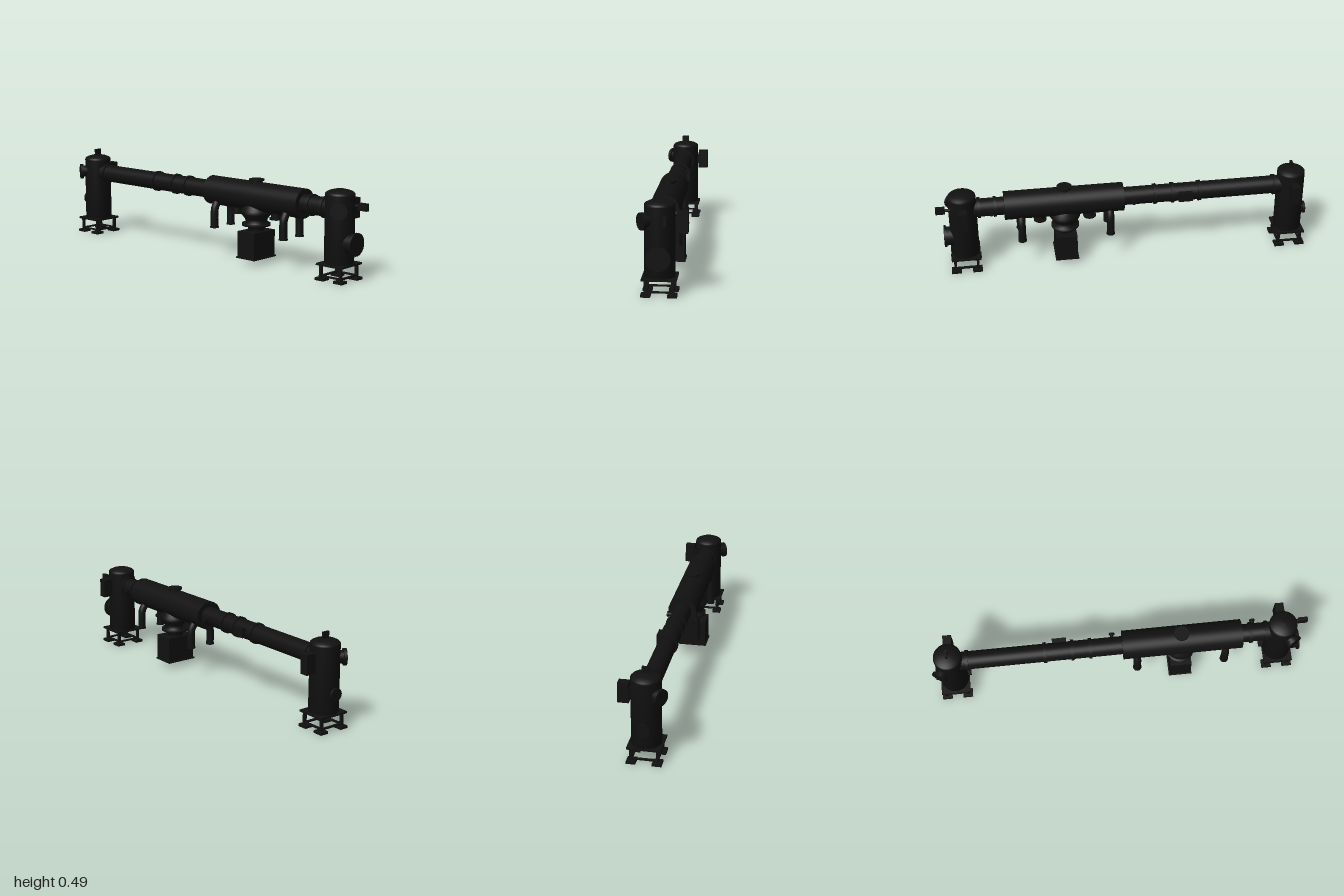
import * as THREE from 'three';

const mat = new THREE.MeshStandardMaterial({ color: 0x111111, side: THREE.DoubleSide });
const ZC = 0.012, PIPE_Y = 0.352;

function add(parent, name, geo, x = 0, y = 0, z = 0) {
  const m = new THREE.Mesh(geo, mat);
  m.name = name;
  m.position.set(x, y, z);
  parent.add(m);
  return m;
}
const box = (p, name, w, h, d, x, y, z) => add(p, name, new THREE.BoxGeometry(w, h, d), x, y, z);

// Cylinder between two points
function rod(p, name, r, a, b, seg = 32) {
  const A = new THREE.Vector3(...a), B = new THREE.Vector3(...b), d = B.clone().sub(A);
  const m = add(p, name, new THREE.CylinderGeometry(r, r, d.length(), seg));
  m.position.copy(A).add(B).multiplyScalar(0.5);
  m.quaternion.setFromUnitVectors(new THREE.Vector3(0, 1, 0), d.normalize());
  return m;
}

// Vertical vessel on a legged frame; s is the outward x direction
function tower(s) {
  const g = new THREE.Group();
  g.name = s > 0 ? 'leftTower' : 'rightTower';

  // Shell and dished head
  const shell = [[0, 0.085], [0.074, 0.085], [0.074, 0.425]];
  add(g, 'shell', new THREE.LatheGeometry(shell.map(p => new THREE.Vector2(...p)), 48));
  const head = [[0.074, 0.425], [0.073, 0.432], [0.067, 0.438], [0.05, 0.446], [0.025, 0.452], [0, 0.454]];
  add(g, 'domedHead', new THREE.LatheGeometry(head.map(p => new THREE.Vector2(...p)), 48));

  // Support frame: top plate, legs, lower beams and feet
  box(g, 'basePlate', 0.156, 0.01, 0.168, 0, 0.081, 0);
  for (const i of [-1, 1]) {
    box(g, 'lowerBeam', 0.14, 0.008, 0.012, 0, 0.021, i * 0.063);
    box(g, 'sideBeam', 0.012, 0.008, 0.14, i * 0.06, 0.021, 0);
    for (const k of [-1, 1]) {
      box(g, 'leg', 0.014, 0.07, 0.014, i * 0.06, 0.045, k * 0.065);
      box(g, 'foot', 0.052, 0.013, 0.046, i * 0.056, 0.0065, k * 0.063);
    }
  }

  // Angled inspection port facing outward and forward
  const n = [s * 0.55, 0, 0.835], at = t => [n[0] * t, 0.357, n[2] * t];
  rod(g, 'portNeck', 0.032, at(0.04), at(0.095));
  rod(g, 'portCover', 0.042, at(0.087), at(0.103));

  // Control cabinet behind the shell
  box(g, 'cabinet', 0.045, 0.102, 0.054, 0, 0.346, -0.107);
  box(g, 'cabinetBracket', 0.02, 0.05, 0.03, 0, 0.346, -0.075);

  // Side manway
  const r = s > 0 ? 0.058 : 0.033, out = s > 0 ? 0.107 : 0.09;
  rod(g, 'manwayNeck', r - 0.008, [s * 0.04, 0.19, 0], [s * out, 0.19, 0]);
  rod(g, 'manwayCover', r, [s * (out - 0.012), 0.19, 0], [s * out, 0.19, 0]);

  if (s > 0) {
    // Instrument on a stem
    box(g, 'instrumentBox', 0.05, 0.037, 0.02, 0.115, 0.372, -0.034);
    rod(g, 'instrumentStem', 0.008, [0.05, 0.372, -0.034], [0.1, 0.372, -0.034], 12);
  } else {
    box(g, 'liftingLug', 0.012, 0.045, 0.037, 0, 0.4625, 0);
  }
  g.position.set(s > 0 ? 0.86 : -0.905, 0, ZC);
  return g;
}

export function createModel() {
  const model = new THREE.Group();
  model.name = 'pipeAssembly';
  model.add(tower(1), tower(-1));

  // Horizontal pipe run with joint rings
  const along = (name, r, x0, x1) => rod(model, name, r, [x0, PIPE_Y, ZC], [x1, PIPE_Y, ZC], 48);
  along('mainPipe', 0.048, -0.86, 0.82);
  along('centralVessel', 0.076, 0.01, 0.642);
  for (const x of [-0.81, -0.4, -0.255, -0.16, 0.69, 0.775]) along('jointRing', 0.055, x - 0.008, x + 0.008);

  // Small fittings on the back of the pipe
  box(model, 'backPlate', 0.075, 0.05, 0.03, -0.32, PIPE_Y, -0.038);
  for (const x of [-0.04, 0.71]) {
    rod(model, 'smallNozzle', 0.01, [x, PIPE_Y, -0.02], [x, PIPE_Y, -0.058], 16);
    rod(model, 'smallNozzleCap', 0.015, [x, PIPE_Y, -0.052], [x, PIPE_Y, -0.06], 16);
  }

  // Top port of the vessel
  rod(model, 'topPort', 0.03, [0.322, 0.4, ZC], [0.322, 0.44, ZC]);
  rod(model, 'topPortFlange', 0.04, [0.322, 0.434, ZC], [0.322, 0.443, ZC]);

  // Round outlet under the vessel
  const outlet = [[0.06, 0.31], [0.08, 0.282], [0.08, 0.262], [0.058, 0.235], [0.056, 0.213],
    [0.074, 0.213], [0.074, 0.2], [0.043, 0.2], [0.043, 0.17]];
  const neck = new THREE.LatheGeometry(outlet.map(p => new THREE.Vector2(...p)), 40);
  add(model, 'outletNeck', neck, 0.322, 0, ZC);

  // Collection box with rim at the bottom
  box(model, 'collectionBox', 0.113, 0.138, 0.164, 0.322, 0.104, ZC);
  box(model, 'collectionBoxRim', 0.125, 0.007, 0.174, 0.322, 0.0345, ZC);

  // Pairs of bent drain pipes
  for (const x of [0.085, 0.557]) {
    for (const s of [-1, 1]) {
      const path = new THREE.CatmullRomCurve3([[0.03, 0.312], [0.05, 0.287], [0.06, 0.268], [0.064, 0.245], [0.064, 0.168]]
        .map(([z, y]) => new THREE.Vector3(x, y, ZC + s * z)));
      add(model, 'drainPipe', new THREE.TubeGeometry(path, 24, 0.0205, 20));
      rod(model, 'drainFlange', 0.023, [x, 0.164, ZC + s * 0.064], [x, 0.17, ZC + s * 0.064], 20);
    }
  }

  // Short bottom nozzles
  for (const x of [0.19, 0.455]) {
    rod(model, 'bottomNozzle', 0.025, [x, 0.25, ZC], [x, 0.3, ZC]);
    rod(model, 'bottomNozzleFlange', 0.034, [x, 0.247, ZC], [x, 0.257, ZC]);
  }
  return model;
}
